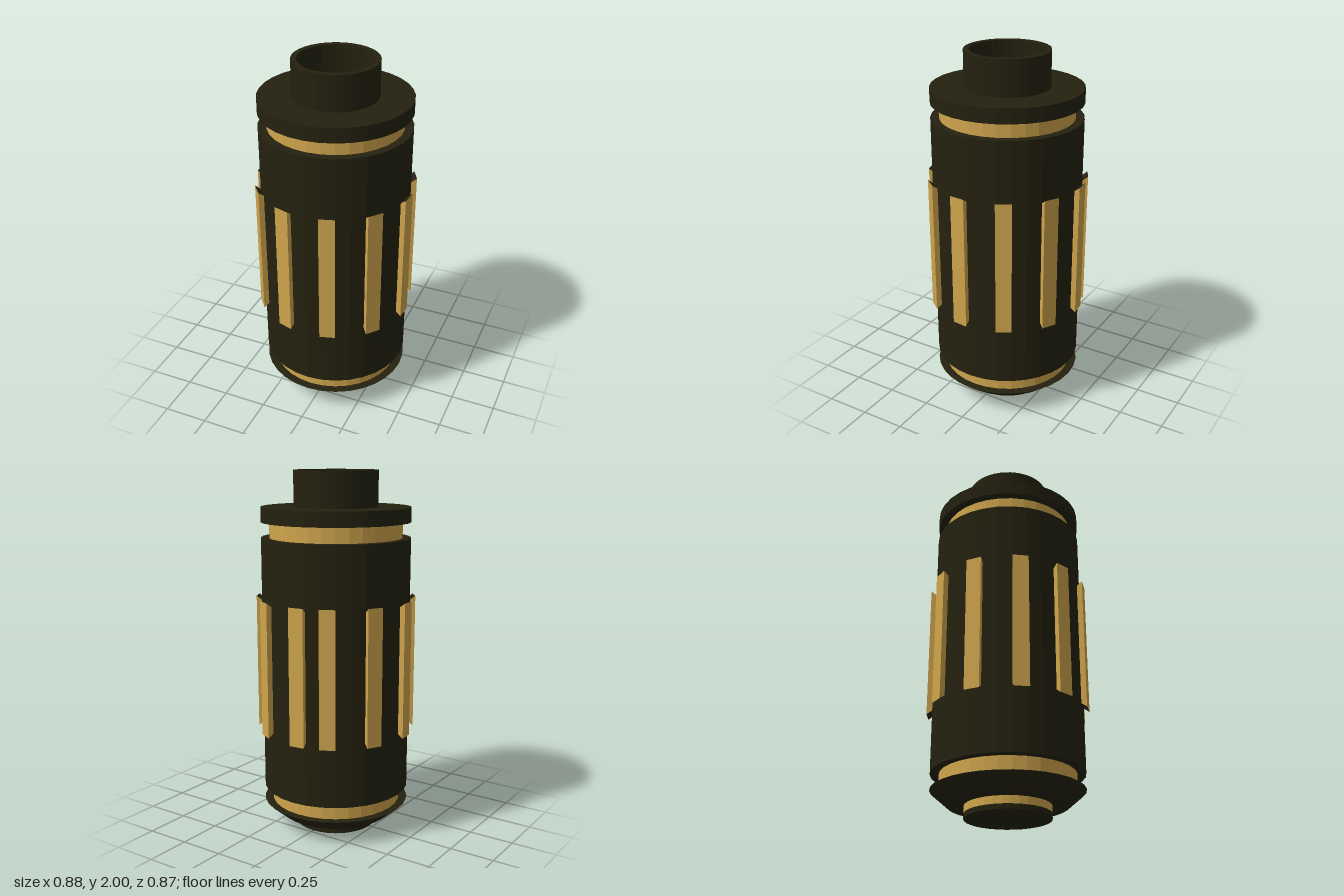
import * as THREE from 'three';

const SIDES = 32;
const STEP = (Math.PI * 2) / SIDES;

const dark = new THREE.MeshStandardMaterial({ color: 0x24210f, flatShading: true });
dark.name = 'blackened metal';
const gold = new THREE.MeshStandardMaterial({ color: 0xd0a54d, flatShading: true });
gold.name = 'brass';

// Turned part: profile of [radius, y], listed upwards along the outside
function turned(name, profile, material) {
  const points = profile.map(([r, y]) => new THREE.Vector2(r, y));
  const mesh = new THREE.Mesh(new THREE.LatheGeometry(points, SIDES), material);
  mesh.name = name;
  return mesh;
}

// Solid drum between two heights
const drum = (name, r, y0, y1, material) =>
  turned(name, [[0, y0], [r, y0], [r, y1], [0, y1]], material);

// Rib raised from one facet of the body, flaring outwards at its ends
function ribGeometry() {
  const corner = (r, side, y) => {
    const a = side * STEP / 2;
    return [r * Math.sin(a), y, r * Math.cos(a)];
  };
  const ring = (r, y0, y1) =>
    [corner(r, -1, y0), corner(r, 1, y0), corner(r, 1, y1), corner(r, -1, y1)];
  const v = [...ring(0.41, 0.587, 1.293), ...ring(0.44, 0.565, 1.315)];
  const quads = [
    [4, 5, 6, 7], [1, 2, 6, 5], [3, 0, 4, 7], // face and sides
    [7, 6, 2, 3], [0, 1, 5, 4],               // top and bottom ends
  ];
  const positions = quads.flatMap(([a, b, c, d]) => [a, b, c, a, c, d].flatMap((i) => v[i]));
  const geometry = new THREE.BufferGeometry();
  geometry.setAttribute('position', new THREE.Float32BufferAttribute(positions, 3));
  geometry.addGroup(0, 18, 0);
  geometry.addGroup(18, 12, 1);
  geometry.computeVertexNormals();
  return geometry;
}

export function createModel() {
  const model = new THREE.Group();
  model.name = 'ribbedCanister';

  // Foot and chamfered base
  model.add(drum('footPlate', 0.23, 0, 0.027, dark));
  model.add(drum('footRing', 0.23, 0.027, 0.068, gold));
  model.add(turned('chamferedBase', [[0, 0.068], [0.32, 0.068], [0.41, 0.145], [0, 0.145]], dark));

  // Body between two recessed bands
  model.add(drum('lowerBand', 0.364, 0.145, 0.23, gold));
  model.add(drum('body', 0.41, 0.23, 1.64, dark));
  model.add(drum('upperBand', 0.364, 1.64, 1.725, gold));

  // Cap and hollow neck
  model.add(drum('cap', 0.41, 1.725, 1.805, dark));
  model.add(turned('neck', [[0.23, 1.805], [0.23, 2], [0.2, 2], [0.2, 1.805]], dark));
  model.add(drum('neckFloor', 0.2, 1.805, 1.812, gold));

  // Ribs on every third facet, leaving one narrower gap at the back
  const ribs = new THREE.Group();
  ribs.name = 'ribs';
  const geometry = ribGeometry();
  for (let i = -5; i <= 5; i++) {
    const rib = new THREE.Mesh(geometry, [gold, dark]);
    rib.name = 'rib';
    rib.rotation.y = (1.5 + 3 * i) * STEP;
    ribs.add(rib);
  }
  model.add(ribs);

  return model;
}
